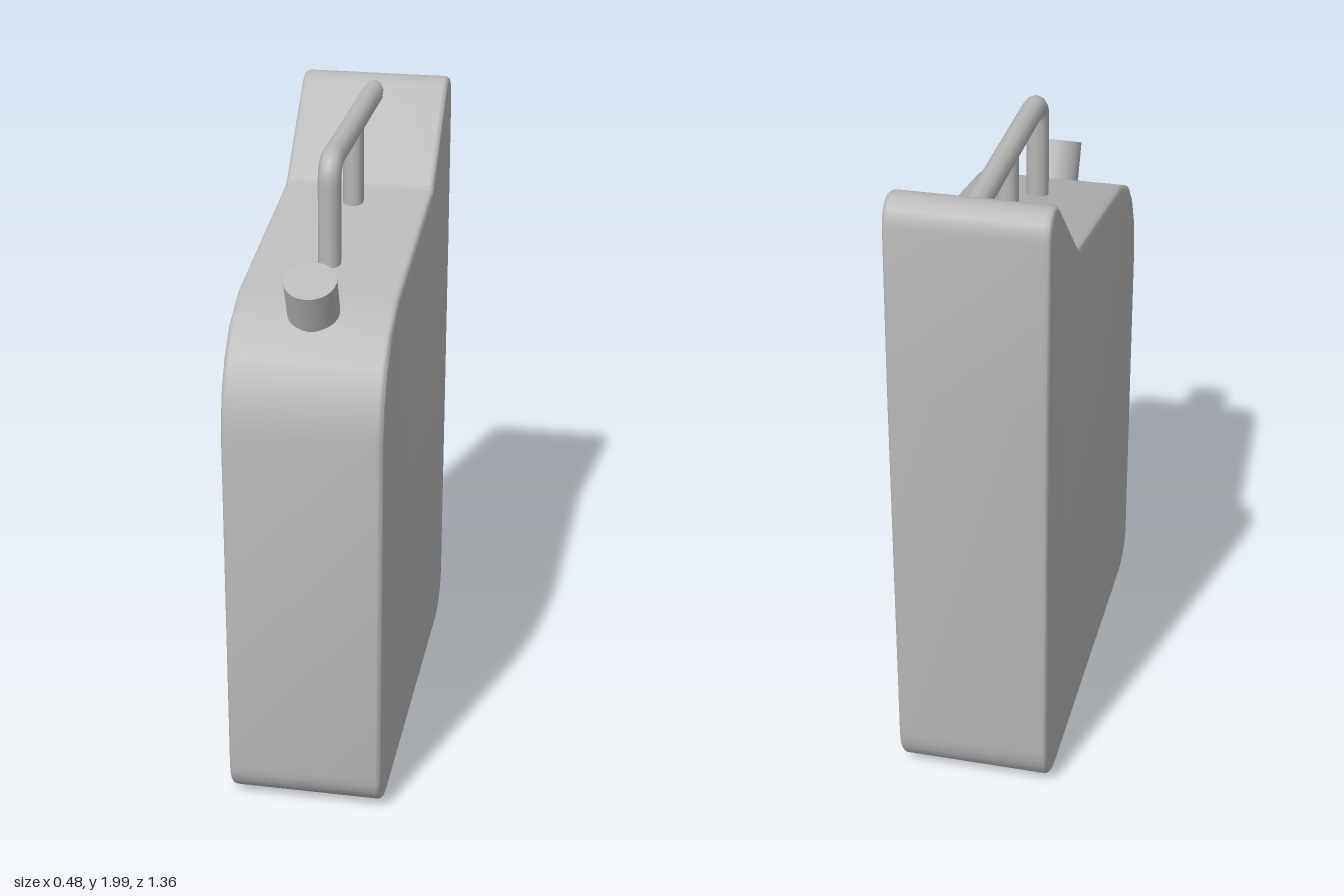
import * as THREE from 'three';
import { toCreasedNormals } from 'three/addons/utils/BufferGeometryUtils.js';

const HALF_WIDTH = 0.238;
const BEVEL = 0.016;

// Side outline of the can; shape x runs along z, shape y is up
function bodyOutline() {
  const s = new THREE.Shape();
  s.moveTo(-0.53, 0.005);
  s.lineTo(0.55, 0.005);
  s.bezierCurveTo(0.63, 0.01, 0.68, 0.06, 0.68, 0.13); // front bottom corner
  // faceted front shoulder
  [[0.68, 1.27], [0.66, 1.38], [0.61, 1.48], [0.54, 1.555], [0.41, 1.615]]
    .forEach(([z, y]) => s.lineTo(z, y));
  s.lineTo(-0.25, 1.716);
  s.quadraticCurveTo(-0.27, 1.72, -0.285, 1.734); // notch below the raised back
  s.lineTo(-0.54, 1.977);
  s.bezierCurveTo(-0.58, 2.012, -0.66, 2.005, -0.665, 1.92); // top back corner
  s.lineTo(-0.675, 1.4);
  s.lineTo(-0.676, 0.16);
  s.bezierCurveTo(-0.676, 0.07, -0.62, 0.01, -0.53, 0.005); // back bottom corner
  return s;
}

function makeBody(material) {
  const depth = 2 * (HALF_WIDTH - BEVEL);
  const geo = new THREE.ExtrudeGeometry(bodyOutline(), {
    depth, curveSegments: 8, bevelEnabled: true, bevelSegments: 3,
    bevelSize: BEVEL, bevelThickness: BEVEL, bevelOffset: -BEVEL,
  });
  geo.translate(0, 0, -depth / 2);
  geo.rotateY(-Math.PI / 2);
  const body = new THREE.Mesh(toCreasedNormals(geo, 0.65), material);
  body.name = 'canBody';
  return body;
}

function makeHandle(material) {
  const handle = new THREE.Group();
  handle.name = 'handle';
  const v = (y, z) => new THREE.Vector3(0, y, z);

  // front post bending into the top bar, which runs into the raised back
  const path = new THREE.CurvePath();
  path.add(new THREE.LineCurve3(v(1.6, 0.23), v(1.89, 0.23)));
  path.add(new THREE.QuadraticBezierCurve3(v(1.89, 0.23), v(1.953, 0.23), v(1.953, 0.167)));
  path.add(new THREE.LineCurve3(v(1.953, 0.167), v(1.953, -0.57)));
  const bar = new THREE.Mesh(new THREE.TubeGeometry(path, 80, 0.035, 10), material);
  bar.name = 'handleBar';

  const post = new THREE.Mesh(new THREE.CylinderGeometry(0.033, 0.033, 0.3, 10), material);
  post.position.set(0, 1.8, -0.165);
  post.name = 'handleRearPost';
  handle.add(bar, post);
  return handle;
}

function makeCap(material) {
  const geo = toCreasedNormals(new THREE.CylinderGeometry(0.077, 0.077, 0.18, 24), 0.7);
  geo.translate(0, -0.09, 0); // origin at the top of the cap
  const cap = new THREE.Mesh(geo, material);
  cap.position.set(0, 1.697, 0.527);
  cap.rotation.x = 0.41;
  cap.name = 'spoutCap';
  return cap;
}

export function createModel() {
  const grey = new THREE.MeshStandardMaterial({ color: 0xb8b8b8 });
  grey.name = 'lightGrey';
  const model = new THREE.Group();
  model.name = 'fuelCan';
  model.add(makeBody(grey), makeHandle(grey), makeCap(grey));
  return model;
}
